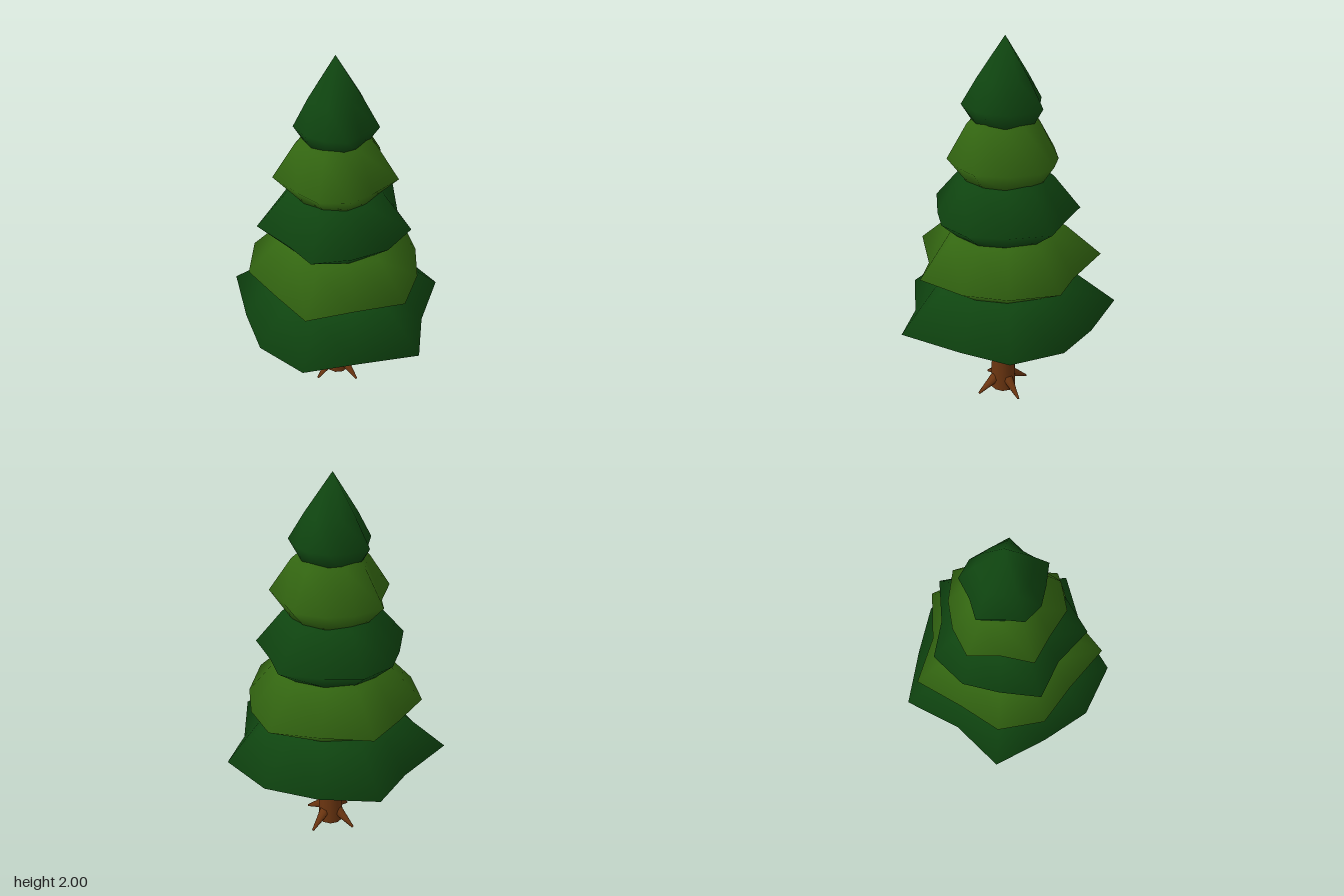
import * as THREE from 'three';
import { mergeVertices } from 'three/addons/utils/BufferGeometryUtils.js';

const SIDES = 12;
const AXIS_X = -0.05;

function material(name, color) {
  const m = new THREE.MeshStandardMaterial({ color });
  m.name = name;
  return m;
}

// Closed skirt of foliage: each ring is [radius, y, waviness, lift of the points]
function foliageGeometry(rings, phase) {
  const positions = [];
  const index = [];
  for (const [r, y, wave, lift] of rings) {
    for (let j = 0; j < SIDES; j++) {
      const a = (j / SIDES) * Math.PI * 2;
      const c = Math.cos(5 * a + phase);
      const radius = r * (1 + wave * c);
      positions.push(radius * Math.cos(a), y + lift * c, radius * Math.sin(a));
    }
  }
  for (let i = 0; i < rings.length - 1; i++) {
    for (let j = 0; j < SIDES; j++) {
      const k = (j + 1) % SIDES;
      const a = i * SIDES + j, b = i * SIDES + k;
      const d = a + SIDES, e = b + SIDES;
      if (rings[i + 1][0] > 0) index.push(a, d, e);
      if (rings[i][0] > 0) index.push(a, e, b);
      else if (rings[i + 1][0] > 0) continue;
    }
    // The top fan needs its single triangle per side
    if (rings[i + 1][0] === 0) {
      index.length -= SIDES * 3;
      for (let j = 0; j < SIDES; j++) {
        index.push(i * SIDES + j, (i + 1) * SIDES + j, i * SIDES + ((j + 1) % SIDES));
      }
    }
  }
  let g = new THREE.BufferGeometry();
  g.setAttribute('position', new THREE.Float32BufferAttribute(positions, 3));
  g.setIndex(index);
  g = mergeVertices(g, 1e-5);
  g.computeVertexNormals();
  return g;
}

export function createModel() {
  const tree = new THREE.Group();
  tree.name = 'pineTree';
  const darkGreen = material('darkGreen', 0x0f4510);
  const lightGreen = material('lightGreen', 0x336611);
  const bark = material('bark', 0x6b3510);

  // Five stacked tiers, each smaller and with its points turned
  for (let i = 0; i < 5; i++) {
    const R = 0.55 - 0.089 * i;
    const y = 0.45 + 0.2825 * i;
    const top = i === 4;
    const rings = [
      [0, y + 0.005, 0, 0],
      [R * (0.68 + 0.03 * i), y, 0.04, 0.006],
      [R, y + 0.082 + (i > 0 && !top ? 0.008 : 0), 0.13, 0.022 - 0.003 * i],
      [R * 0.65, y + (top ? 0.22 : 0.275), 0.1, 0],
      [0, y + (top ? 0.42 : 0.45), 0, 0],
    ];
    const tier = new THREE.Mesh(
      foliageGeometry(rings, (i * Math.PI) / 4),
      i % 2 ? lightGreen : darkGreen
    );
    tier.name = `foliageTier${i + 1}`;
    tier.position.x = AXIS_X;
    tree.add(tier);
  }

  // Trunk, slightly tapered
  const trunk = new THREE.Mesh(new THREE.CylinderGeometry(0.06, 0.072, 0.5, 10), bark);
  trunk.name = 'trunk';
  trunk.position.set(AXIS_X + 0.003, 0.26, 0);
  tree.add(trunk);

  // Four roots sloping out to the ground
  const start = new THREE.Vector3(0.04, 0.085, 0);
  const end = new THREE.Vector3(0.162, 0.006, 0);
  const dir = end.clone().sub(start);
  for (let i = 0; i < 4; i++) {
    const pivot = new THREE.Group();
    pivot.name = `root${i + 1}`;
    pivot.position.x = AXIS_X + 0.005;
    pivot.rotation.y = (i * Math.PI) / 2;
    const root = new THREE.Mesh(new THREE.CylinderGeometry(0.006, 0.032, dir.length(), 8), bark);
    root.name = 'rootSpur';
    root.position.copy(start).add(end).multiplyScalar(0.5);
    root.quaternion.setFromUnitVectors(new THREE.Vector3(0, 1, 0), dir.clone().normalize());
    pivot.add(root);
    tree.add(pivot);
  }
  return tree;
}
